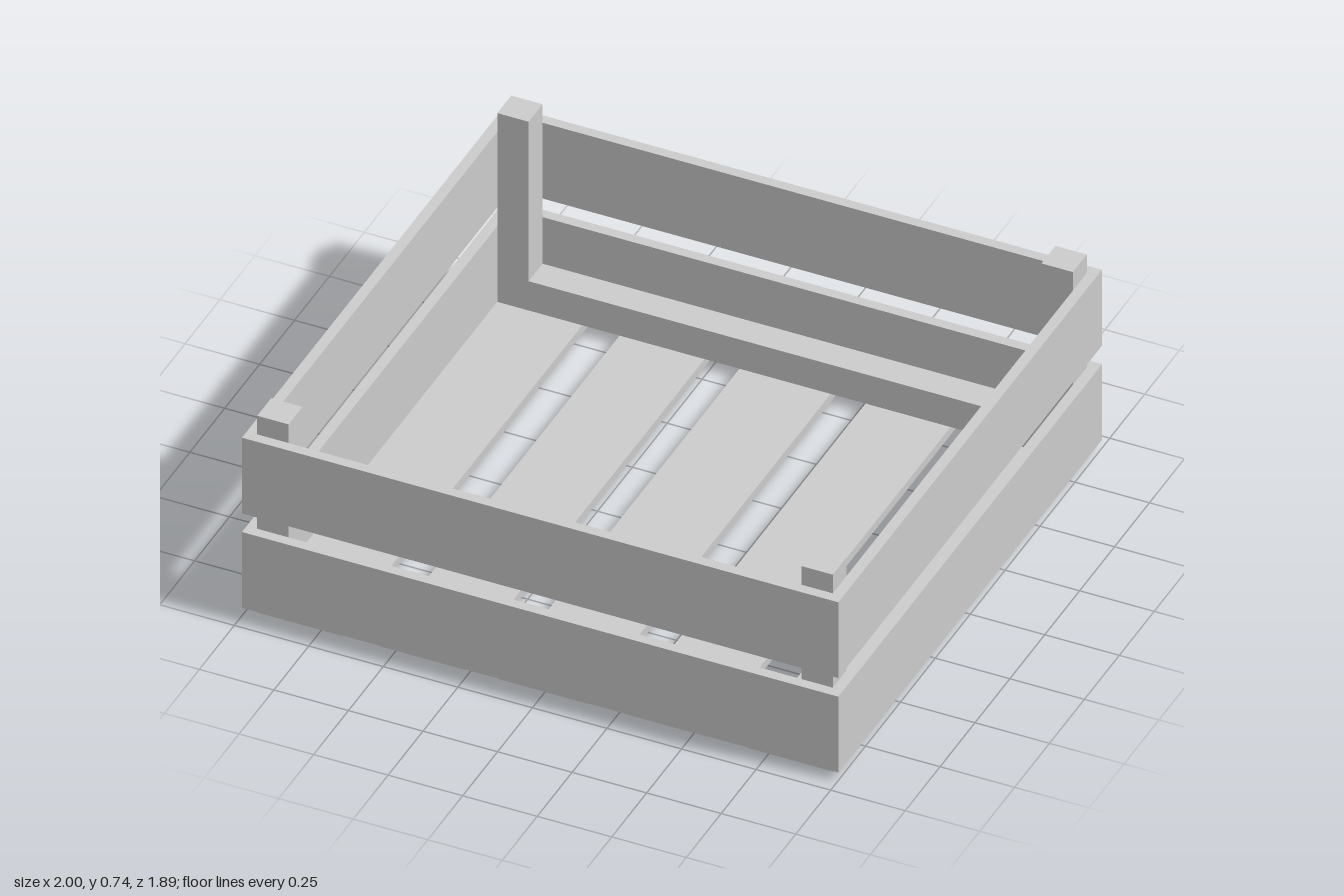
import * as THREE from 'three';

export function createModel() {
  const crate = new THREE.Group();
  crate.name = 'slattedCrate';
  const material = new THREE.MeshStandardMaterial({ color: 0xcccccc, flatShading: true });

  // Adds a box given its extents along each axis
  function addBox(name, [x0, x1], [y0, y1], [z0, z1]) {
    const mesh = new THREE.Mesh(new THREE.BoxGeometry(x1 - x0, y1 - y0, z1 - z0), material);
    mesh.position.set((x0 + x1) / 2, (y0 + y1) / 2, (z0 + z1) / 2);
    mesh.name = name;
    crate.add(mesh);
  }
  // Mirrors a range to the given side of zero
  const side = (s, a, b) => (s > 0 ? [a, b] : [-b, -a]);

  const floorTop = 0.03;
  const outerX = 1, innerX = 0.965, postX = 0.86;
  const outerZ = 0.945, innerZ = 0.91, postZ = 0.81;

  // Floor slats running front to back
  const slats = [[-0.965, -0.68], [-0.555, -0.27], [-0.153, 0.153], [0.27, 0.555], [0.68, 0.965]];
  for (const xRange of slats) addBox('floorSlat', xRange, [0, floorTop], [-innerZ, innerZ]);

  // Two tiers of wall boards
  for (const yRange of [[floorTop, 0.315], [0.385, 0.67]]) {
    for (const s of [-1, 1]) {
      addBox(s > 0 ? 'frontBoard' : 'backBoard', [-outerX, outerX], yRange, side(s, innerZ, outerZ));
      addBox(s > 0 ? 'leftBoard' : 'rightBoard', side(s, innerX, outerX), yRange, [-innerZ, innerZ]);
    }
  }

  for (const sz of [-1, 1]) {
    // Corner posts
    for (const sx of [-1, 1]) {
      addBox('cornerPost', side(sx, postX, innerX), [floorTop, 0.74], side(sz, postZ, innerZ));
    }
    // Low rail tying the floor slats together between the posts
    addBox('floorRail', [-postX, postX], [floorTop, 0.14], side(sz, postZ, innerZ));
  }

  return crate;
}
